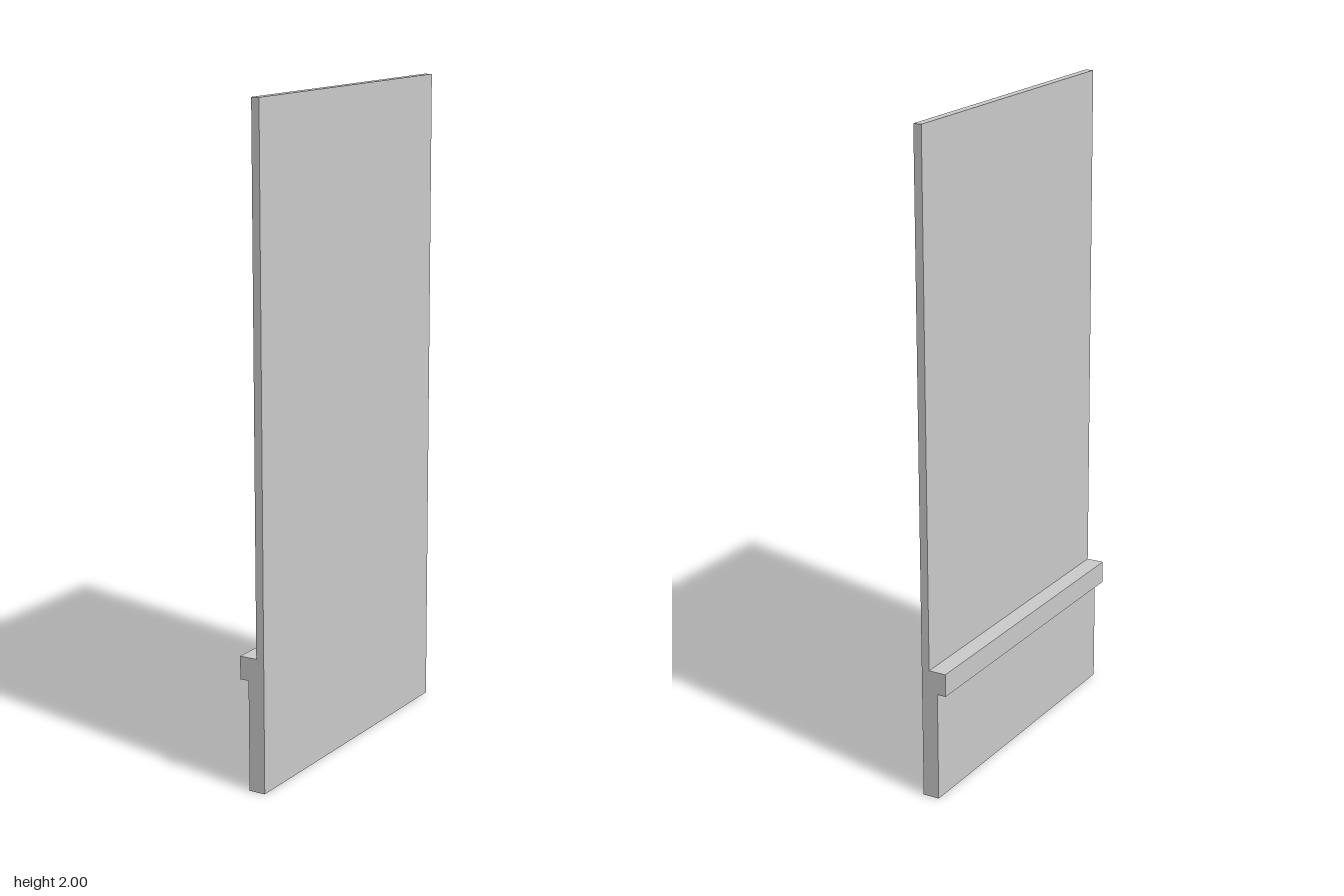
import * as THREE from 'three';

// Wall panel with a thicker base and a projecting rail, as one extruded profile
export function createModel() {
  const depth = 0.98;
  const outer = 0.04, wallInner = 0.015, baseInner = -0.012, railInner = -0.04;
  const railBottom = 0.337, railTop = 0.407, height = 2;

  // Cross-section in x and y, counter-clockwise
  const profile = new THREE.Shape([
    [baseInner, 0], [outer, 0], [outer, height], [wallInner, height],
    [wallInner, railTop], [railInner, railTop],
    [railInner, railBottom], [baseInner, railBottom],
  ].map(([x, y]) => new THREE.Vector2(x, y)));

  const geometry = new THREE.ExtrudeGeometry(profile, { depth, bevelEnabled: false });
  geometry.translate(0, 0, -depth / 2);

  const panel = new THREE.Mesh(geometry, new THREE.MeshStandardMaterial({ color: 0xcccccc }));
  panel.name = 'wallPanelWithRail';

  const group = new THREE.Group();
  group.name = 'wallPanel';
  group.add(panel);
  return group;
}
